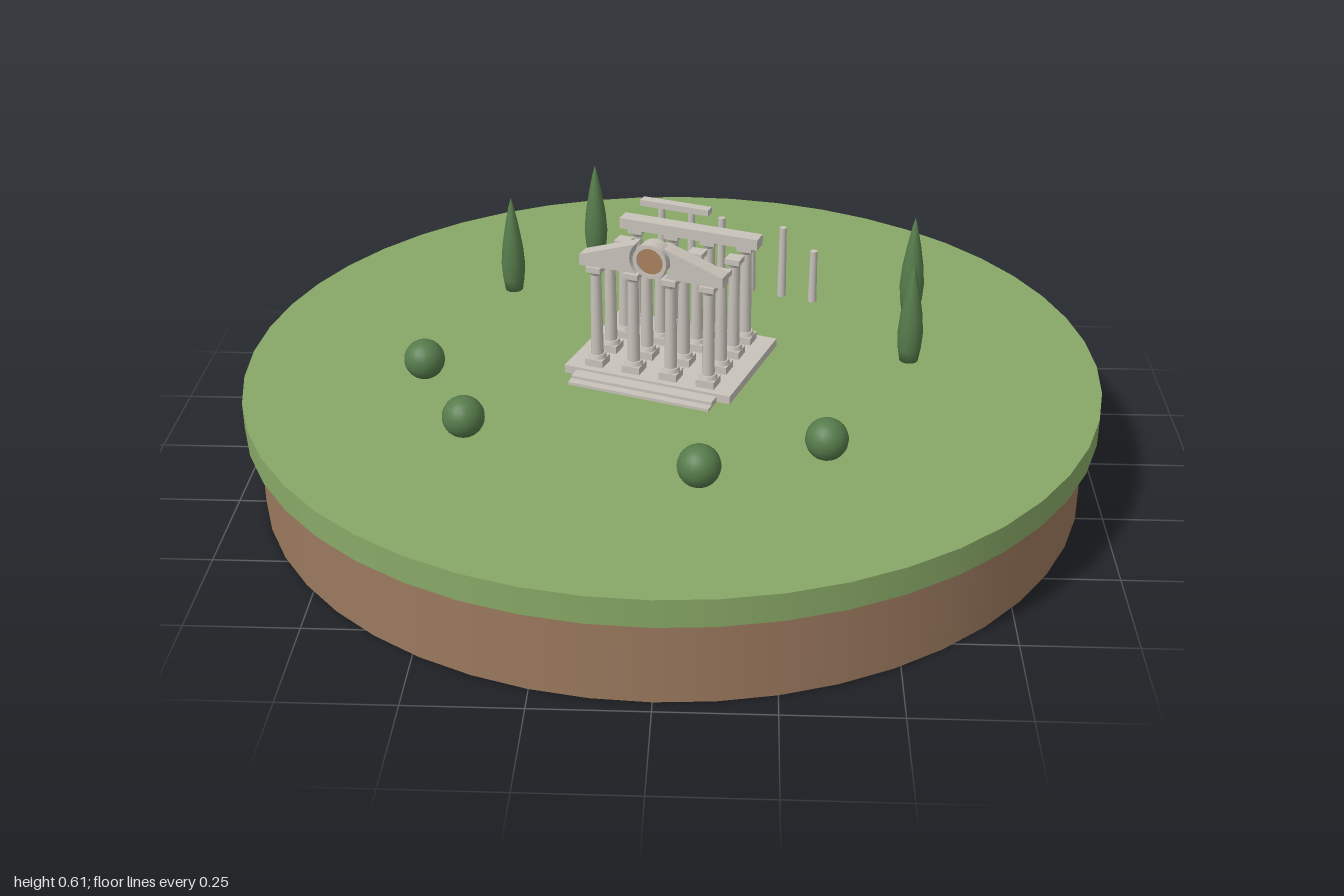
import * as THREE from 'three';

const mat = (name, color) => {
  const m = new THREE.MeshStandardMaterial({ color });
  m.name = name;
  return m;
};

export function createModel() {
  const grass = mat('grass', 0x88a866);
  const soil = mat('soil', 0x9b795e);
  const stone = mat('stone', 0xc8c2ba);
  const leaf = mat('foliage', 0x567b4b);
  const clay = mat('clay', 0xa9805f);
  const root = new THREE.Group();
  const GROUND = 0.264;

  const add = (parent, name, geo, material, x = 0, y = 0, z = 0) => {
    const m = new THREE.Mesh(geo, material);
    m.name = name;
    m.position.set(x, y, z);
    parent.add(m);
    return m;
  };
  const group = (parent, name, x = 0, y = 0, z = 0) => {
    const g = new THREE.Group();
    g.name = name;
    g.position.set(x, y, z);
    parent.add(g);
    return g;
  };
  const box = (w, h, d) => new THREE.BoxGeometry(w, h, d);
  const lathe = (pts, n) => new THREE.LatheGeometry(pts.map(p => new THREE.Vector2(...p)), n);

  // Round island
  add(root, 'soilDisc', new THREE.CylinderGeometry(0.97, 0.97, 0.2, 48), soil, 0, 0.1, 0);
  add(root, 'grassDisc', new THREE.CylinderGeometry(1, 1, 0.064, 48), grass, 0, 0.232, 0);

  // Temple, turned 20 degrees
  const temple = group(root, 'temple');
  temple.rotation.y = -Math.PI / 9;
  const FLOOR = 0.284;
  add(temple, 'platform', box(0.412, 0.02, 0.316), stone, 0, 0.274, 0);
  add(temple, 'lowerStep', box(0.348, 0.007, 0.06), stone, 0, GROUND + 0.0035, 0.18);
  add(temple, 'upperStep', box(0.348, 0.014, 0.04), stone, 0, GROUND + 0.007, 0.17);

  // Four rows of four columns
  const shaft = new THREE.CylinderGeometry(0.0125, 0.015, 0.205, 12);
  const ring = new THREE.CylinderGeometry(0.019, 0.022, 0.01, 12);
  const neck = new THREE.CylinderGeometry(0.018, 0.0125, 0.01, 12);
  const plinth = box(0.044, 0.018, 0.044);
  const cap = box(0.036, 0.013, 0.036);
  for (const z of [-0.12, -0.041, 0.041, 0.12]) {
    for (let i = 0; i < 4; i++) {
      const c = group(temple, 'column', (i - 1.5) * 0.0925, FLOOR, z);
      add(c, 'plinth', plinth, stone, 0, 0.009, 0);
      add(c, 'baseRing', ring, stone, 0, 0.023, 0);
      add(c, 'shaft', shaft, stone, 0, 0.128, 0);
      add(c, 'neck', neck, stone, 0, 0.234, 0);
      add(c, 'capital', cap, stone, 0, 0.2445, 0);
    }
  }

  // Rear beam
  add(temple, 'rearBeam', box(0.348, 0.026, 0.038), stone, 0, 0.548, -0.114);

  // Front pediment: two sloping wings around a round medallion
  const pediment = group(temple, 'pediment', 0, 0.535, 0.113);
  for (const s of [-1, 1]) {
    const pts = [[0.175, 0], [0.175, 0.026]];
    for (let i = 0; i <= 10; i++) {
      const a = 0.8 - i * 0.16;
      pts.push([0.05 * Math.cos(a), 0.038 + 0.05 * Math.sin(a)]);
    }
    const shape = new THREE.Shape(pts.map(([x, y]) => new THREE.Vector2(s * x, y)));
    add(pediment, 'pedimentWing',
      new THREE.ExtrudeGeometry(shape, { depth: 0.038, bevelEnabled: false }), stone, 0, 0, -0.019);
  }
  const rim = new THREE.Shape();
  rim.absarc(0, 0, 0.041, 0, Math.PI * 2, false);
  const hole = new THREE.Path();
  hole.absarc(0, 0, 0.032, 0, Math.PI * 2, true);
  rim.holes.push(hole);
  add(pediment, 'medallionRim', new THREE.ExtrudeGeometry(rim,
    { depth: 0.042, bevelEnabled: false, curveSegments: 16 }), stone, 0, 0.037, -0.021);
  const disc = add(pediment, 'medallionDisc',
    new THREE.CylinderGeometry(0.033, 0.033, 0.032, 24), clay, 0, 0.037, 0);
  disc.rotation.x = Math.PI / 2;

  // Ruined colonnade behind the temple
  const ruin = group(root, 'ruinedColonnade', 0.147, GROUND, -0.404);
  ruin.rotation.y = -Math.PI / 9;
  [0.19, 0.19, 0.187, 0.137, 0.187, 0.137].forEach((h, i) => {
    add(ruin, 'ruinColumn', new THREE.CylinderGeometry(0.009, 0.011, h, 10), stone,
      (i - 2.5) * 0.082, h / 2, 0);
  });
  add(ruin, 'ruinBeam', box(0.186, 0.016, 0.026), stone, -0.166, 0.198, 0);

  // Cypress trees
  const cypress = lathe([[0, 0], [0.022, 0], [0.027, 0.03], [0.03, 0.07], [0.026, 0.12],
    [0.017, 0.175], [0.007, 0.225], [0, 0.25]], 16);
  for (const [x, z] of [[-0.225, -0.6], [-0.418, -0.375], [0.583, -0.29], [0.56, -0.02]]) {
    add(root, 'cypress', cypress, leaf, x, GROUND, z);
  }

  // Round bushes
  const bush = new THREE.SphereGeometry(0.047, 20, 14);
  for (const [x, z] of [[-0.567, 0.125], [-0.44, 0.393], [0.35, 0.46], [0.08, 0.583]]) {
    add(root, 'bush', bush, leaf, x, 0.317, z);
  }
  return root;
}
